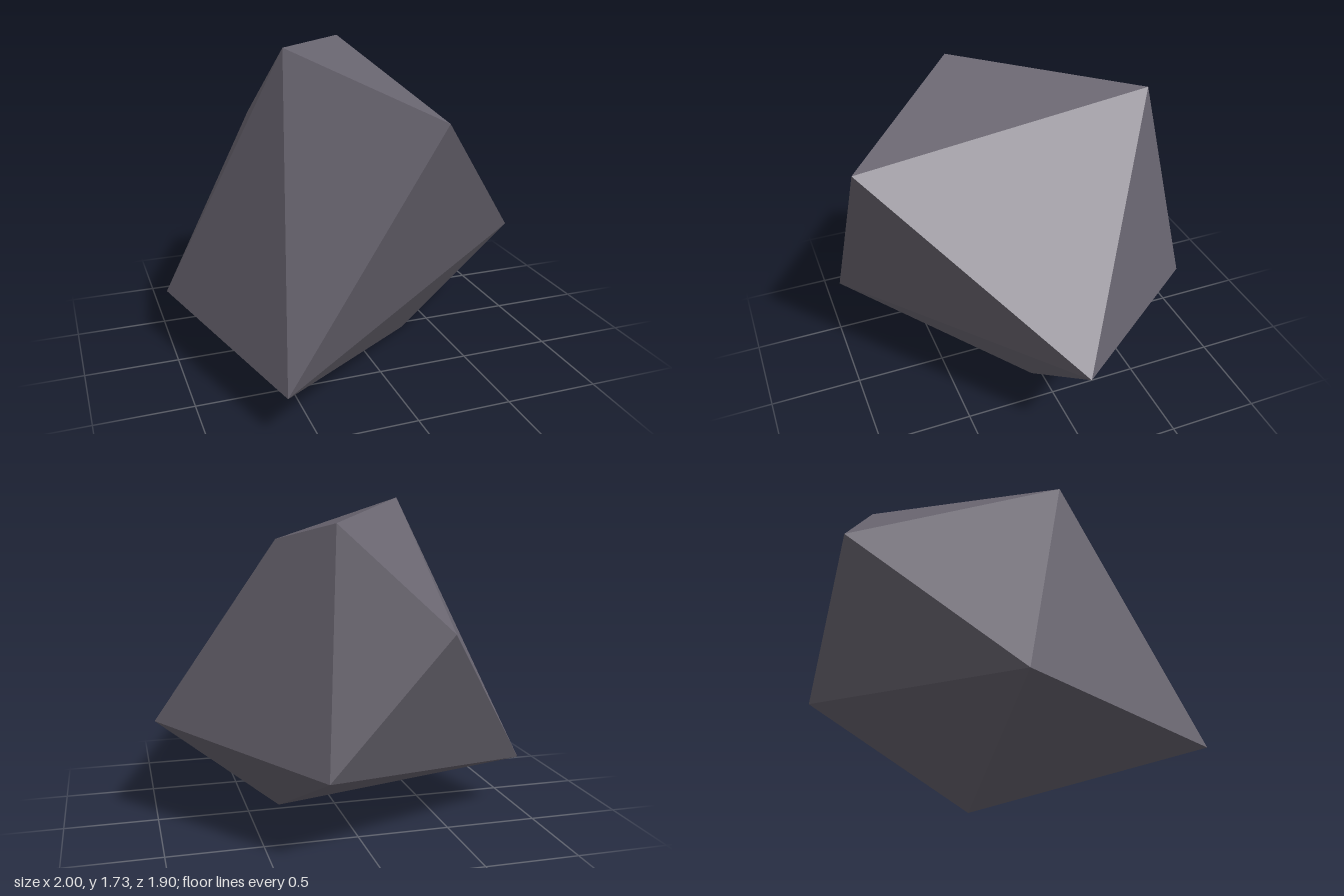
import * as THREE from 'three';

// Corners of the faceted boulder
const corners = {
  A: [-0.436, 1.73, 0.256], // peak
  B: [0.158, 1.64, -0.652], // rear top
  C: [0.152, 1.455, 0.923], // front top
  D: [0.997, 0.557, 0.02],  // left tip
  E: [-0.643, 0.225, 0.95], // front foot
  F: [-1.0, 0.29, -0.289],  // right tip
  G: [0.316, 0.0, 0.054],   // base point
  H: [-0.334, 1.143, -0.953], // rear shoulder
  I: [0.254, 0.45, -0.9],   // rear foot
};

const facets = 'HFA HAB HBI HIF FIG FGE FEA AEC ACB BCD BDI DGI DEG CED'.split(' ');

export function createModel() {
  const stone = new THREE.MeshStandardMaterial({ color: 0x68646f });
  stone.name = 'greyStone';

  // One separate triangle per facet, each turned to face away from the core
  const core = new THREE.Vector3(0, 0.85, 0);
  const points = [];
  for (const facet of facets) {
    const [a, b, c] = [...facet].map((key) => new THREE.Vector3(...corners[key]));
    const triangle = new THREE.Triangle(a, b, c);
    const outward = triangle.getNormal(new THREE.Vector3()).dot(a.clone().sub(core)) > 0;
    points.push(...(outward ? [a, b, c] : [a, c, b]));
  }
  const geometry = new THREE.BufferGeometry().setFromPoints(points);
  geometry.computeVertexNormals();

  const boulder = new THREE.Mesh(geometry, stone);
  boulder.name = 'boulder';

  const model = new THREE.Group();
  model.name = 'rock';
  model.add(boulder);
  return model;
}
